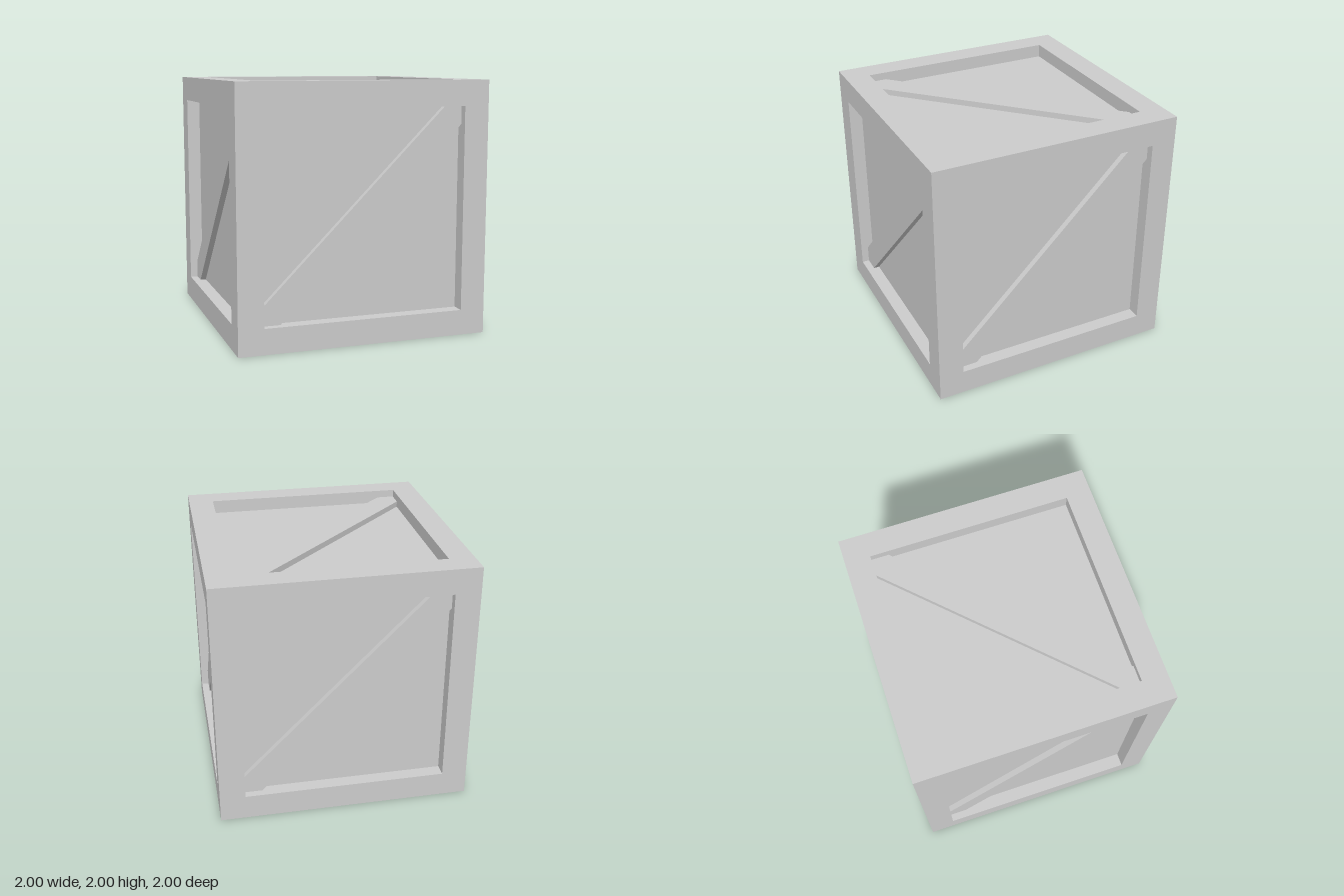
import * as THREE from 'three';

const HALF = 1;        // half the crate's width
const BEAM = 0.2;      // frame beam thickness
const OPEN = HALF - BEAM;
const PANEL = 0.893;   // distance of the recessed panels from the centre
const BRACE = 0.94;    // distance of the brace fronts from the centre
const CUT = 0.66;      // where the brace edges meet the frame

export function createModel() {
  const grey = new THREE.MeshStandardMaterial({ color: 0xcccccc });
  grey.name = 'grey';

  const model = new THREE.Group();
  model.name = 'crate';
  const body = new THREE.Group();
  body.name = 'crateBody';
  body.position.y = HALF;
  model.add(body);

  const add = (parent, geometry, name, x = 0, y = 0, z = 0) => {
    const mesh = new THREE.Mesh(geometry, grey);
    mesh.name = name;
    mesh.position.set(x, y, z);
    parent.add(mesh);
    return mesh;
  };

  // Frame: four posts, with rails fitted between them at top and bottom
  const post = new THREE.BoxGeometry(BEAM, 2 * HALF, BEAM);
  const railX = new THREE.BoxGeometry(2 * OPEN, BEAM, BEAM);
  const railZ = new THREE.BoxGeometry(BEAM, BEAM, 2 * OPEN);
  const c = HALF - BEAM / 2;
  for (const a of [-c, c]) {
    for (const b of [-c, c]) {
      add(body, post, 'cornerPost', a, 0, b);
      add(body, railX, 'crossRail', 0, a, b);
      add(body, railZ, 'sideRail', a, b, 0);
    }
  }

  // Recessed panels: one inner box shows through all six openings
  add(body, new THREE.BoxGeometry(2 * PANEL, 2 * PANEL, 2 * PANEL), 'recessedPanels');

  // Diagonal brace, trimmed to fit the corners of the opening
  const outline = new THREE.Shape([
    [-OPEN, -OPEN], [-CUT, -OPEN], [OPEN, CUT],
    [OPEN, OPEN], [CUT, OPEN], [-OPEN, -CUT],
  ].map(([x, y]) => new THREE.Vector2(x, y)));
  const brace = new THREE.ExtrudeGeometry(outline, { depth: BRACE - PANEL, bevelEnabled: false });
  brace.translate(0, 0, PANEL);

  // The same brace turned onto each face
  const q = Math.PI / 2;
  const faces = {
    front: [0, 0], left: [0, q], back: [0, 2 * q], right: [0, -q], top: [-q, 0], bottom: [q, 0],
  };
  for (const [face, [rx, ry]] of Object.entries(faces)) {
    add(body, brace, face + 'Brace').rotation.set(rx, ry, 0);
  }

  return model;
}
